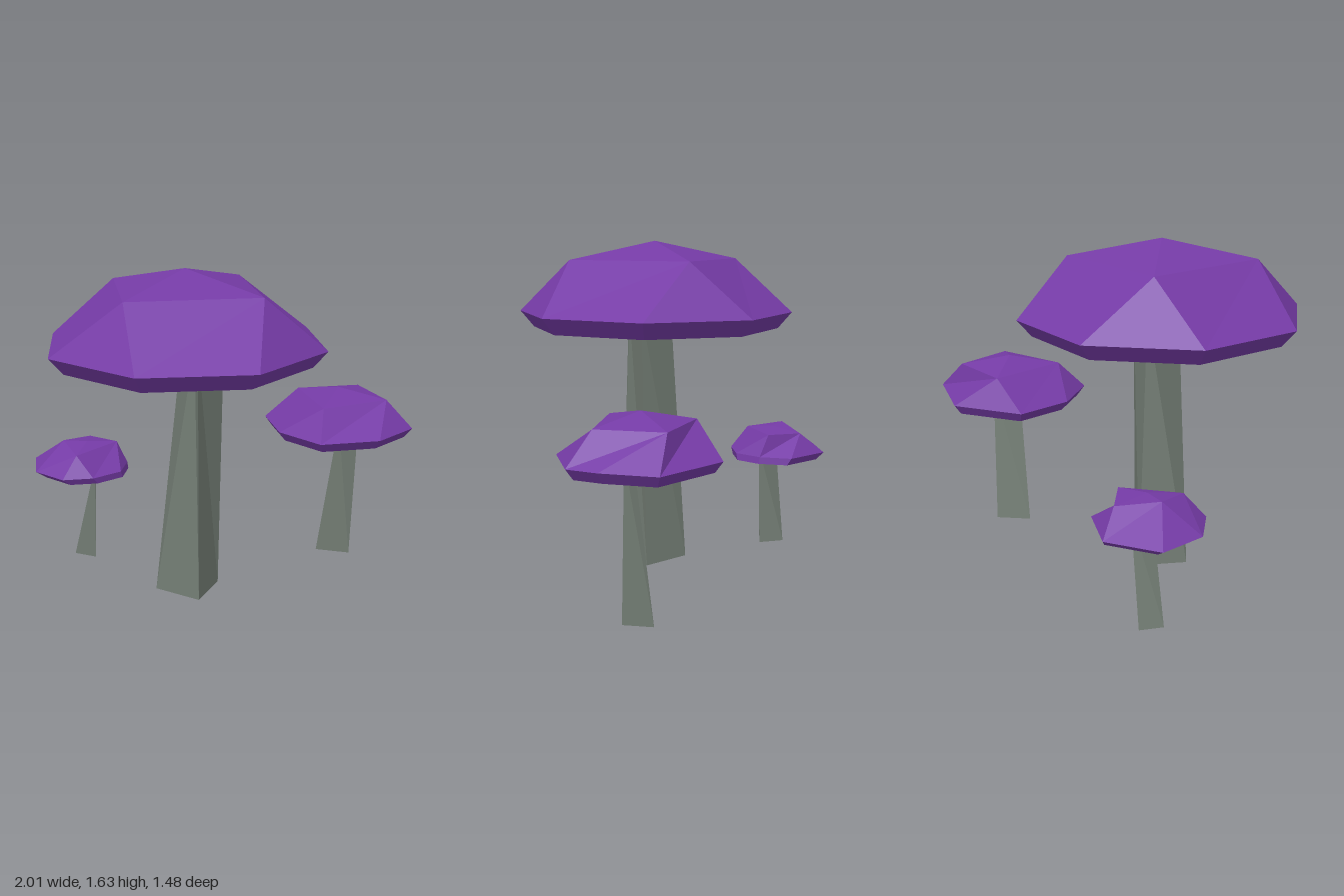
import * as THREE from 'three';

const capMaterial = new THREE.MeshStandardMaterial({ color: 0x753ba6, flatShading: true, side: THREE.DoubleSide });
capMaterial.name = 'purple cap';
const stemMaterial = new THREE.MeshStandardMaterial({ color: 0x737d74, flatShading: true });
stemMaterial.name = 'grey stem';

// Flat-shaded mesh from a list of triangle corners
function facetMesh(name, corners, material) {
  const geometry = new THREE.BufferGeometry();
  geometry.setAttribute('position', new THREE.Float32BufferAttribute(corners.flat(), 3));
  geometry.computeVertexNormals();
  const mesh = new THREE.Mesh(geometry, material);
  mesh.name = name;
  return mesh;
}

// Corners around a centre at the given angles; radii and heights repeat in turn
function polarRing([cx, cz], degrees, radii, heights, scale = 1) {
  return degrees.map((deg, i) => {
    const t = THREE.MathUtils.degToRad(deg);
    const r = radii[i % radii.length] * scale;
    return [cx + r * Math.cos(t), heights[i % heights.length], cz + r * Math.sin(t)];
  });
}

// Evenly spaced angles
const steps = (count, start) => Array.from({ length: count }, (_, i) => start + (i * 360) / count);

// Hollow cap: apex, four upper corners, eight rim corners, inward-turned lower edge
function makeCap({ apex, centre, ring, rim, rimY, baseY, baseShift }) {
  const upper = polarRing(centre, ring.degrees, ring.radii, ring.heights);
  const outer = polarRing(centre, rim.degrees, rim.radii, [rimY]);
  const base = polarRing([centre[0] + baseShift, centre[1]], rim.degrees, rim.radii, [baseY], 0.9);
  const tris = [];
  for (let i = 0; i < 4; i++) {
    const a = upper[i], b = upper[(i + 1) % 4];
    const r0 = outer[2 * i], r1 = outer[2 * i + 1], r2 = outer[(2 * i + 2) % 8];
    tris.push(apex, b, a, a, r1, r0, a, b, r2, a, r2, r1);
  }
  for (let j = 0; j < 8; j++) {
    const k = (j + 1) % 8;
    tris.push(outer[j], outer[k], base[k], outer[j], base[k], base[j]);
  }
  return facetMesh('cap', tris, capMaterial);
}

// Tapered, leaning stem between two [x, z] polygons; the foot rises slightly towards -x
function makeStem({ foot, head, topY }) {
  const xs = foot.map(([x]) => x);
  const right = Math.max(...xs), width = right - Math.min(...xs);
  const bottom = foot.map(([x, z]) => [x, (0.02 * (right - x)) / width, z]);
  const top = head.map(([x, z]) => [x, topY, z]);
  const tris = [];
  const n = bottom.length;
  for (let i = 0; i < n; i++) {
    const k = (i + 1) % n;
    tris.push(top[i], top[k], bottom[i], top[k], bottom[k], bottom[i]);
    if (i > 0 && i < n - 1) {
      tris.push(bottom[0], bottom[i], bottom[k], top[0], top[k], top[i]);
    }
  }
  return facetMesh('stem', tris, stemMaterial);
}

function makeMushroom(name, cap, stem) {
  const mushroom = new THREE.Group();
  mushroom.name = name;
  mushroom.add(makeCap(cap), makeStem(stem));
  return mushroom;
}

export function createModel() {
  const model = new THREE.Group();
  model.name = 'mushroomCluster';

  model.add(makeMushroom('largeMushroom', {
    apex: [-0.155, 1.63, 0.09],
    centre: [-0.155, 0.09],
    ring: { degrees: steps(4, 33.5), radii: [0.443], heights: [1.54] },
    rim: { degrees: steps(8, 14), radii: [0.684] },
    rimY: 1.28, baseY: 1.2, baseShift: 0,
  }, {
    foot: [[-0.005, 0.03], [-0.09, 0.25], [-0.31, 0.16], [-0.22, -0.06]],
    head: [[0.025, 0.04], [-0.09, 0.2], [-0.105, 0.215], [-0.175, 0.005]],
    topY: 1.28,
  }));

  model.add(makeMushroom('mediumMushroom', {
    apex: [0.615, 0.935, -0.385],
    centre: [0.615, -0.385],
    ring: { degrees: [15, 111, 216, 299], radii: [0.254], heights: [0.885] },
    rim: { degrees: [14, 58, 106, 149, 194, 253, 313, 352], radii: [0.394, 0.362] },
    rimY: 0.74, baseY: 0.69, baseShift: 0,
  }, {
    foot: [[0.7, -0.345], [0.52, -0.34], [0.65, -0.48]],
    head: [[0.727, -0.38], [0.62, -0.335], [0.737, -0.437]],
    topY: 0.75,
  }));

  model.add(makeMushroom('smallMushroom', {
    apex: [-0.71, 0.65, -0.285],
    centre: [-0.755, -0.3],
    ring: { degrees: [-14, 85, 166, 283], radii: [0.2, 0.18, 0.08, 0.154], heights: [0.63, 0.625, 0.655, 0.625] },
    rim: { degrees: [-7, 27, 65, 100, 145, 196, 258, 316], radii: [0.252, 0.264] },
    rimY: 0.52, baseY: 0.485, baseShift: 0.03,
  }, {
    foot: [[-0.68, -0.24], [-0.79, -0.24], [-0.75, -0.345]],
    head: [[-0.658, -0.24], [-0.665, -0.235], [-0.665, -0.34]],
    topY: 0.53,
  }));

  return model;
}
